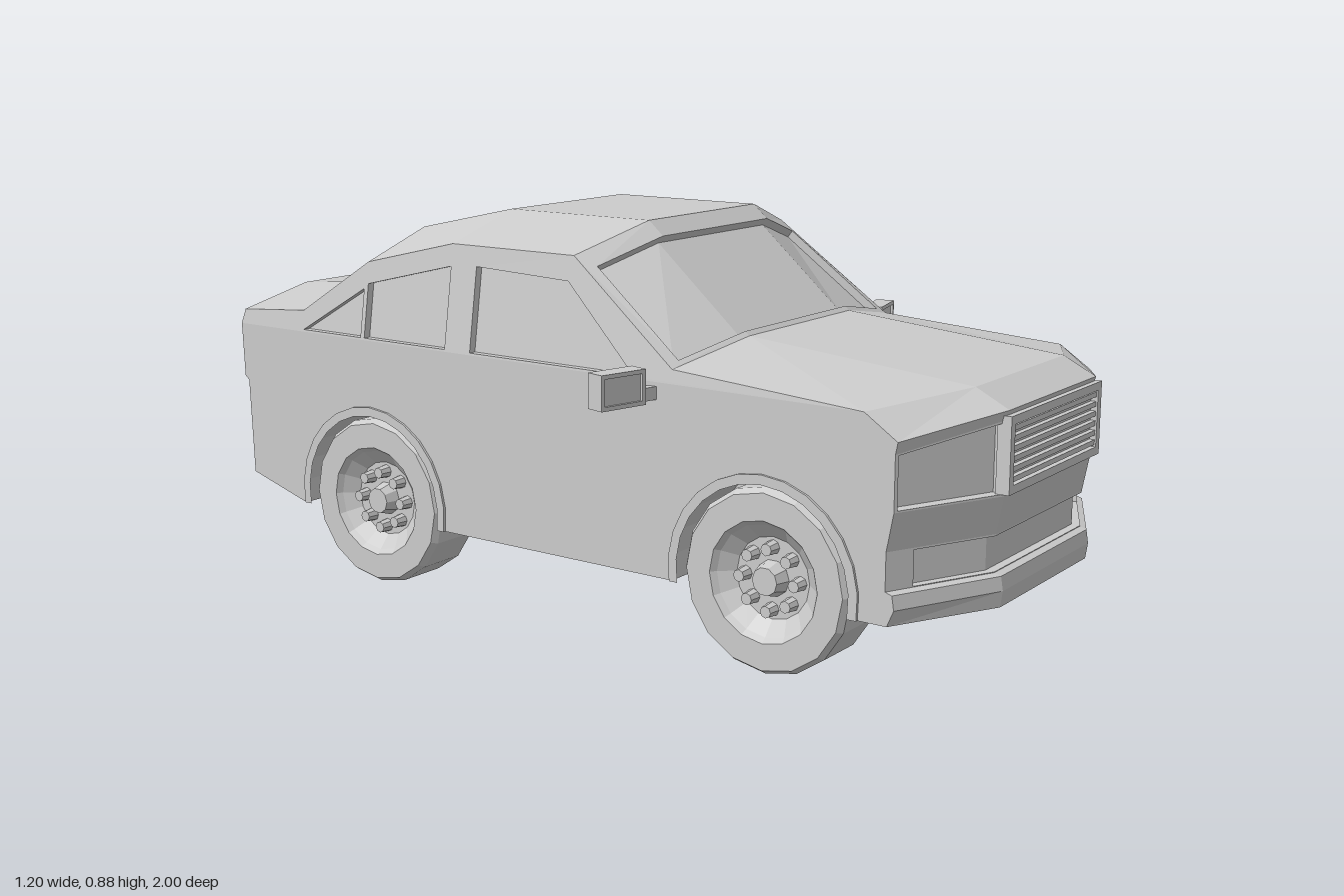
import * as THREE from 'three';

const mat = new THREE.MeshStandardMaterial({ color: 0xcccccc, flatShading: true, side: THREE.DoubleSide });
const V = (x, y, z) => new THREE.Vector3(x, y, z);
const BELT = 0.585, CX = 0.21, WHEEL_Z = [0.57, -0.515], WHEEL_Y = 0.2, ARCH_R = 0.225;

// half width of the body at height y: upright below the belt, leaning in above it
const halfWidth = y => 0.45 - Math.max(0, y - BELT) * 0.155;

// lengthwise rows [z, y at the centre strip, z, y at the side, kind of panel up to the next row]
const rows = [
  [0.985, 0.165, 0.86, 0.165],
  [0.99, 0.2, 0.875, 0.2],
  [0.985, 0.23, 0.87, 0.23],
  [0.97, 0.235, 0.855, 0.235, 'airIntake'],
  [0.97, 0.315, 0.855, 0.315],
  [0.985, 0.395, 0.87, 0.395, 'headlight'],
  [0.985, 0.55, 0.87, 0.51],
  [0.99, 0.57, 0.875, 0.535],
  [0.915, 0.608, 0.8, BELT],
  [0.38, 0.655, 0.345, 0.615, 'windshield'],
  [0.115, 0.885, 0.065, 0.825],
  [-0.28, 0.885, -0.28, 0.825],
  [-0.555, 0.825, -0.535, 0.765, 'rearWindow'],
  [-0.755, 0.675, -0.735, 0.635],
  [-0.97, 0.655, -0.935, 0.62],
  [-0.983, 0.625, -0.945, BELT, 'tailLight'],
  [-0.98, 0.455, -0.94, 0.455],
  [-0.968, 0.445, -0.928, 0.445],
  [-0.955, 0.215, -0.92, 0.215],
  [-0.75, 0.165, -0.75, 0.165],
];

// inset steps per kind: [side inset, lower inset, upper inset, depth]
const insets = {
  airIntake: [[0.25, 0.02, 0.05, 0.02]],
  headlight: [[0.03, 0.03, 0.03, 0.025]],
  windshield: [[0.13, 0.04, 0.14, 0.02]],
  rearWindow: [[0.16, 0.05, 0.08, 0.018]],
  tailLight: [[0.1, 0.08, 0.05, -0.017], [0.1, 0.12, 0.12, 0.012]],
};

function add(group, name, geo) {
  const m = new THREE.Mesh(geo, mat);
  m.name = name;
  group.add(m);
  return m;
}

const quad = (out, a, b, c, d) => { for (const p of [a, b, c, a, c, d]) out.push(p.x, p.y, p.z); };

function fromPositions(pos) {
  const g = new THREE.BufferGeometry();
  g.setAttribute('position', new THREE.Float32BufferAttribute(pos, 3));
  g.computeVertexNormals();
  return g;
}

function strip(out, b, t) {
  for (let i = 0; i + 1 < b.length; i++) quad(out, b[i], b[i + 1], t[i + 1], t[i]);
}

// sinks (or raises) the middle of a strip inside a rim; the floor goes to its own part
function recess(rim, floor, b, t, steps) {
  if (!steps.length) return strip(floor, b, t);
  const [f, g0, g1, depth] = steps[0], n = b.length - 1;
  const ends = r => r.map((p, i) => i === 0 ? p.clone().lerp(r[1], f) : i === n ? p.clone().lerp(r[n - 1], f) : p);
  const eb = ends(b), et = ends(t);
  const ib = eb.map((p, i) => p.clone().lerp(et[i], g0));
  const it = et.map((p, i) => p.clone().lerp(eb[i], g1));
  const normal = b[n].clone().sub(b[0]).cross(t[0].clone().sub(b[0]).add(t[n]).sub(b[n])).normalize();
  const sink = p => p.clone().addScaledVector(normal, -depth);
  const db = ib.map(sink), dt = it.map(sink);
  const loop = (lo, hi) => [...lo, ...hi.slice().reverse()];
  const L = loop(b, t), I = loop(ib, it), D = loop(db, dt);
  L.forEach((_, i) => {
    const j = (i + 1) % L.length;
    quad(rim, L[i], L[j], I[j], I[i]);
    quad(rim, I[i], I[j], D[j], D[i]);
  });
  recess(rim, floor, db, dt, steps.slice(1));
}

// front, bonnet, roof and tail as one folded skin
function buildSkin(group) {
  const parts = { bodySkin: [] };
  const pts = rows.map(([zi, yi, zo, yo]) =>
    [V(-halfWidth(yo), yo, zo), V(-CX, yi, zi), V(CX, yi, zi), V(halfWidth(yo), yo, zo)]);
  for (let k = 0; k + 1 < rows.length; k++) {
    const kind = rows[k][4], b = pts[k], t = pts[k + 1];
    if (!kind) { strip(parts.bodySkin, b, t); continue; }
    const floor = parts[kind] = [];
    if (kind.endsWith('ight')) { // lamps only on the two corner facets
      strip(parts.bodySkin, b.slice(1, 3), t.slice(1, 3));
      for (const i of [0, 2]) recess(parts.bodySkin, floor, b.slice(i, i + 2), t.slice(i, i + 2), insets[kind]);
    } else recess(parts.bodySkin, floor, b, t, insets[kind]);
  }
  for (const name in parts) add(group, name, fromPositions(parts[name]));
}

// flat panel given as [z, y] points on side s, pushed inward by dx
function sidePanel(s, outline, holes = [], dx = 0) {
  const path = l => l.map(([z, y]) => new THREE.Vector2(-s * z, y));
  const shape = new THREE.Shape(path(outline));
  shape.holes = holes.map(h => new THREE.Path(path(h)));
  const g = new THREE.ShapeGeometry(shape), p = g.attributes.position;
  for (let i = 0; i < p.count; i++) {
    const u = p.getX(i), y = p.getY(i);
    p.setXYZ(i, s * (halfWidth(y) - dx), y, -s * u);
  }
  g.computeVertexNormals();
  return g;
}

// wall running inward along a side outline
function sideWall(s, line, depth) {
  const out = [];
  for (let i = 0; i + 1 < line.length; i++) {
    const [a, b] = [line[i], line[i + 1]];
    const p = ([z, y], d) => V(s * (halfWidth(y) - d), y, z);
    quad(out, p(a, 0), p(b, 0), p(b, depth), p(a, depth));
  }
  return fromPositions(out);
}

function arch(c, r) {
  const a = Math.asin((WHEEL_Y - 0.165) / r), n = 14;
  return Array.from({ length: n + 1 }, (_, i) => {
    const t = -a + (Math.PI + 2 * a) * i / n;
    return [c - r * Math.cos(t), WHEEL_Y + r * Math.sin(t)];
  });
}

// rectangular frame with a hole, centred, facing z
function frame(w, h, rim, d) {
  const rect = (P, a, b) => new P([[-a, -b], [a, -b], [a, b], [-a, b]].map(p => new THREE.Vector2(...p)));
  const shape = rect(THREE.Shape, w / 2, h / 2);
  shape.holes.push(rect(THREE.Path, w / 2 - rim, h / 2 - rim));
  return new THREE.ExtrudeGeometry(shape, { depth: d, bevelEnabled: false }).translate(0, 0, -d / 2);
}

function buildSide(group, s) {
  const outer = rows.map(r => [r[2], r[3]]);
  const windows = [
    [[0.25, 0.59], [0.055, 0.77], [-0.205, 0.78], [-0.205, 0.59]],
    [[-0.28, 0.59], [-0.28, 0.775], [-0.53, 0.715], [-0.53, 0.59]],
    [[-0.542, 0.59], [-0.542, 0.703], [-0.73, 0.59]],
  ];
  const arches = WHEEL_Z.map(c => arch(c, ARCH_R));
  add(group, 'lowerSide', sidePanel(s, [...outer.filter(p => p[1] <= BELT), ...arches[1], ...arches[0]]));
  add(group, 'upperSide', sidePanel(s, outer.filter(p => p[1] >= BELT), windows));
  for (const w of windows) {
    add(group, 'sideWindow', sidePanel(s, w, [], 0.018));
    add(group, 'windowEdge', sideWall(s, [...w, w[0]], 0.018));
  }
  WHEEL_Z.forEach((c, i) => {
    add(group, 'wheelWell', sideWall(s, arches[i], 0.17));
    add(group, 'wheelWellBack', sidePanel(s, arches[i], [], 0.17));
    const lip = [...arch(c, 0.228), ...arch(c, 0.207).reverse()];
    add(group, 'archLip', sidePanel(s, lip, [], -0.006));
    add(group, 'archLipEdge', sideWall(s, arch(c, 0.228), -0.006));
    buildWheel(group, s, c);
  });

  // door mirror
  const mirror = new THREE.Group();
  mirror.name = 'doorMirror';
  add(mirror, 'mirrorFrame', frame(0.115, 0.075, 0.009, 0.045));
  add(mirror, 'mirrorCore', new THREE.BoxGeometry(0.1, 0.06, 0.033));
  add(mirror, 'mirrorArm', new THREE.BoxGeometry(0.05, 0.028, 0.02)).position.set(-s * 0.075, -0.02, 0);
  mirror.position.set(s * 0.54, 0.582, 0.275);
  mirror.rotation.y = s * 0.25;
  group.add(mirror);

  // exhaust tip
  add(group, 'exhaustTip', frame(0.1, 0.05, 0.01, 0.07)).position.set(s * 0.3, 0.215, -0.935);
  add(group, 'exhaustCore', new THREE.BoxGeometry(0.085, 0.035, 0.04)).position.set(s * 0.3, 0.215, -0.93);
}

function buildWheel(group, s, z) {
  const wheel = new THREE.Group();
  wheel.name = 'wheel';
  const profile = [[0, 0.3], [0.188, 0.3], [0.198, 0.315], [0.198, 0.43], [0.188, 0.445],
    [0.13, 0.445], [0.12, 0.432], [0.088, 0.405], [0, 0.405]];
  add(wheel, 'tyreAndRim', new THREE.LatheGeometry(profile.map(p => new THREE.Vector2(...p)), 16));
  add(wheel, 'hub', new THREE.CylinderGeometry(0.03, 0.04, 0.035, 10)).position.y = 0.42;
  for (let i = 0; i < 8; i++) {
    const a = i * Math.PI / 4;
    add(wheel, 'wheelNut', new THREE.CylinderGeometry(0.013, 0.016, 0.03, 8))
      .position.set(0.066 * Math.cos(a), 0.418, 0.066 * Math.sin(a));
  }
  wheel.rotation.z = -s * Math.PI / 2;
  wheel.position.set(0, WHEEL_Y, z);
  group.add(wheel);
}

// floor pan, notched around the wheels
function buildFloor(group) {
  const half = [[CX, 0.985], [0.45, 0.86]];
  for (const c of WHEEL_Z) half.push([0.45, c + 0.222], [0.28, c + 0.222], [0.28, c - 0.222], [0.45, c - 0.222]);
  half.push([0.45, -0.75]);
  const loop = [...half, ...half.map(([x, z]) => [-x, z]).reverse()];
  const g = new THREE.ShapeGeometry(new THREE.Shape(loop.map(p => new THREE.Vector2(...p))));
  add(group, 'floorPan', g.rotateX(Math.PI / 2).translate(0, 0.165, 0));
}

// grille frame with horizontal slats
function buildGrille(group) {
  add(group, 'grilleFrame', frame(0.44, 0.16, 0.018, 0.03)).position.set(0, 0.48, 0.985);
  for (let i = 0; i < 6; i++)
    add(group, 'grilleSlat', new THREE.BoxGeometry(0.41, 0.011, 0.025)).position.set(0, 0.428 + i * 0.021, 0.984);
}

export function createModel() {
  const car = new THREE.Group();
  car.name = 'car';
  buildSkin(car);
  for (const s of [1, -1]) buildSide(car, s);
  buildFloor(car);
  buildGrille(car);
  return car;
}
